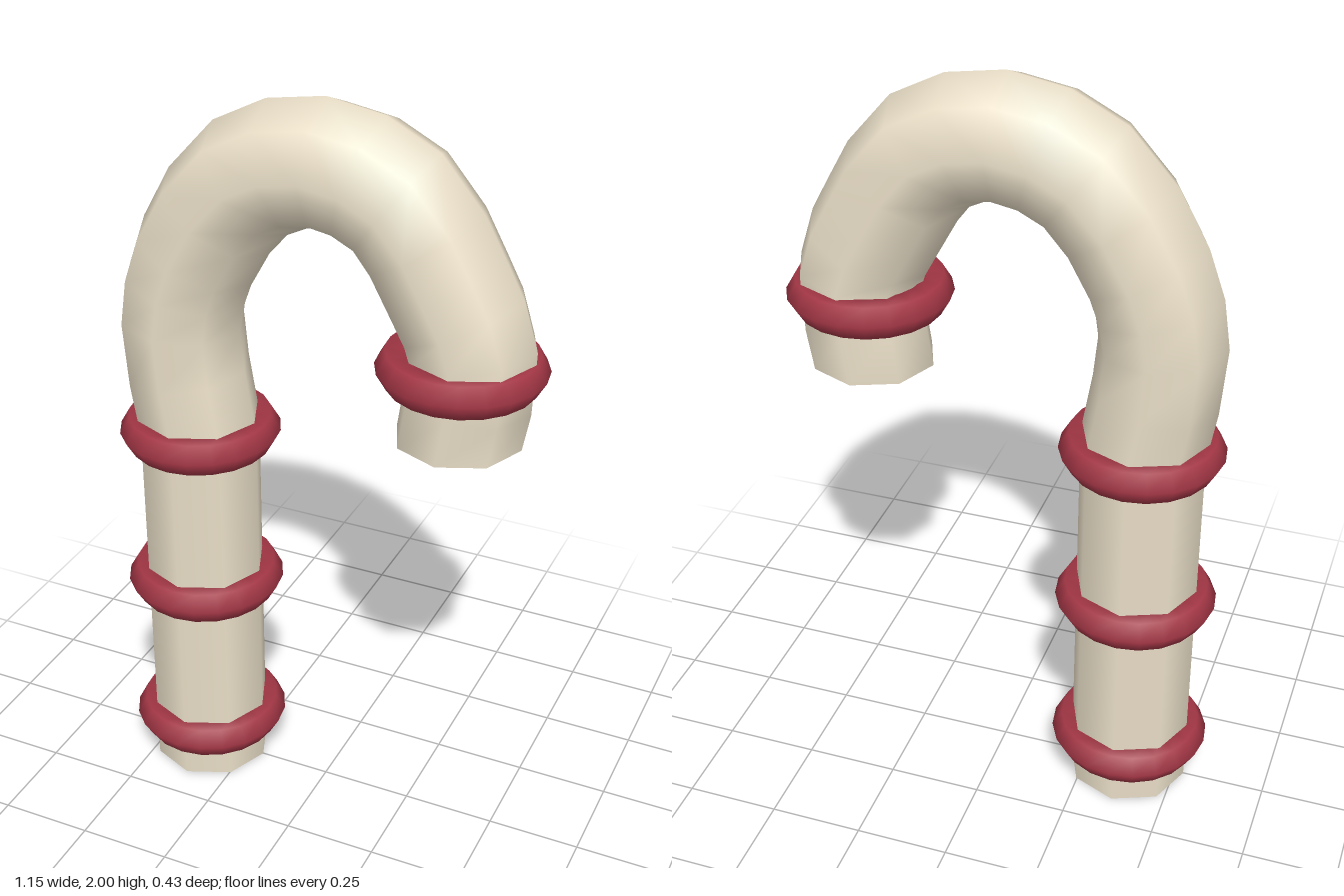
import * as THREE from 'three';

const RADIUS = 0.163;

export function createModel() {
  const group = new THREE.Group();
  const cream = new THREE.MeshStandardMaterial({ color: 0xeadfc8, side: THREE.DoubleSide });
  const red = new THREE.MeshStandardMaterial({ color: 0xa23645 });

  const add = (name, geometry, material, x = 0, y = 0) => {
    const mesh = new THREE.Mesh(geometry, material);
    mesh.name = name;
    mesh.position.set(x, y, 0);
    group.add(mesh);
    return mesh;
  };

  // straight, open-ended eight-sided post
  const postHeight = 1.07;
  add('post', new THREE.CylinderGeometry(RADIUS, RADIUS, postHeight, 8, 1, true), cream, -0.363, postHeight / 2);

  // hooked upper tube, slightly wider than the post at its shoulders
  const path = new THREE.CatmullRomCurve3([
    [-0.363, 1.06], [-0.401, 1.36], [-0.352, 1.556], [-0.2, 1.77], [0, 1.837],
    [0.19, 1.775], [0.318, 1.586], [0.384, 1.43], [0.358, 1.187],
  ].map(([x, y]) => new THREE.Vector3(x, y, 0)));
  // even steps between the path points, with the open end cut level
  path.getPointAt = (t, target) => path.getPoint(t, target);
  path.getTangentAt = (t, target) => {
    const tangent = path.getTangent(t, target);
    return t === 1 ? tangent.set(0, -1, 0) : tangent;
  };
  add('hook', new THREE.TubeGeometry(path, 16, RADIUS, 8, false), cream);

  // collars around the post and the hook's end
  const collar = new THREE.TorusGeometry(RADIUS, 0.05, 6, 20);
  collar.rotateX(Math.PI / 2);
  [[-0.363, 0.135], [-0.363, 0.595], [-0.363, 1.053], [0.36, 1.38]].forEach(([x, y], i) => {
    add(i < 3 ? `postCollar${i + 1}` : 'hookCollar', collar, red, x, y);
  });

  return group;
}
